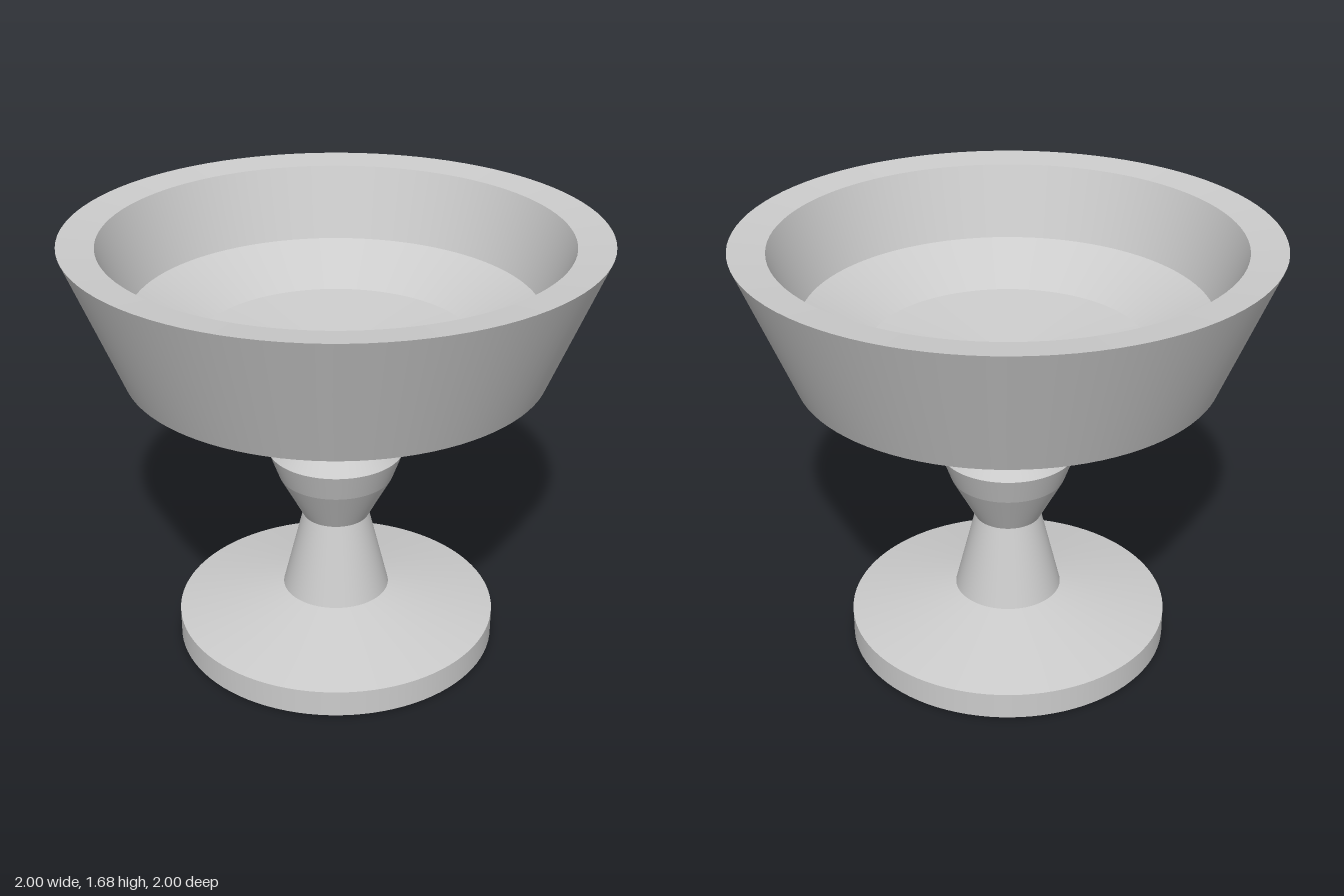
import * as THREE from 'three';
import { mergeGeometries } from 'three/addons/utils/BufferGeometryUtils.js';

const SEGMENTS = 96;
const material = new THREE.MeshStandardMaterial({ color: 0xcccccc });

// Turns a profile of [radius, height] points, one lathe per band so every ring edge stays sharp.
function turned(name, profile) {
  const bands = profile.slice(1).map((end, i) =>
    new THREE.LatheGeometry([profile[i], end].map(([r, y]) => new THREE.Vector2(r, y)), SEGMENTS));
  const mesh = new THREE.Mesh(mergeGeometries(bands), material);
  mesh.name = name;
  return mesh;
}

export function createModel() {
  const goblet = new THREE.Group();
  goblet.name = 'goblet';

  // Disc foot with a shallow conical top
  goblet.add(turned('foot', [[0, 0], [0.63, 0.005], [0.63, 0.11], [0.21, 0.205]]));

  // Tapered stem, knop and flared collar
  goblet.add(turned('stem', [[0.21, 0.205], [0.13, 0.527]]));
  goblet.add(turned('knop', [[0.13, 0.527], [0.222, 0.70], [0.262, 0.81], [0.157, 0.945]]));
  goblet.add(turned('collar', [[0.157, 0.945], [0.28, 1.097]]));

  // Bowl: underside, flared wall, broad rim, then down the hollow inside
  goblet.add(turned('bowl', [
    [0.28, 1.097], [0.795, 1.17], [1, 1.68], [0.865, 1.665],
    [0.765, 1.387], [0.525, 1.256], [0, 1.2],
  ]));

  return goblet;
}
